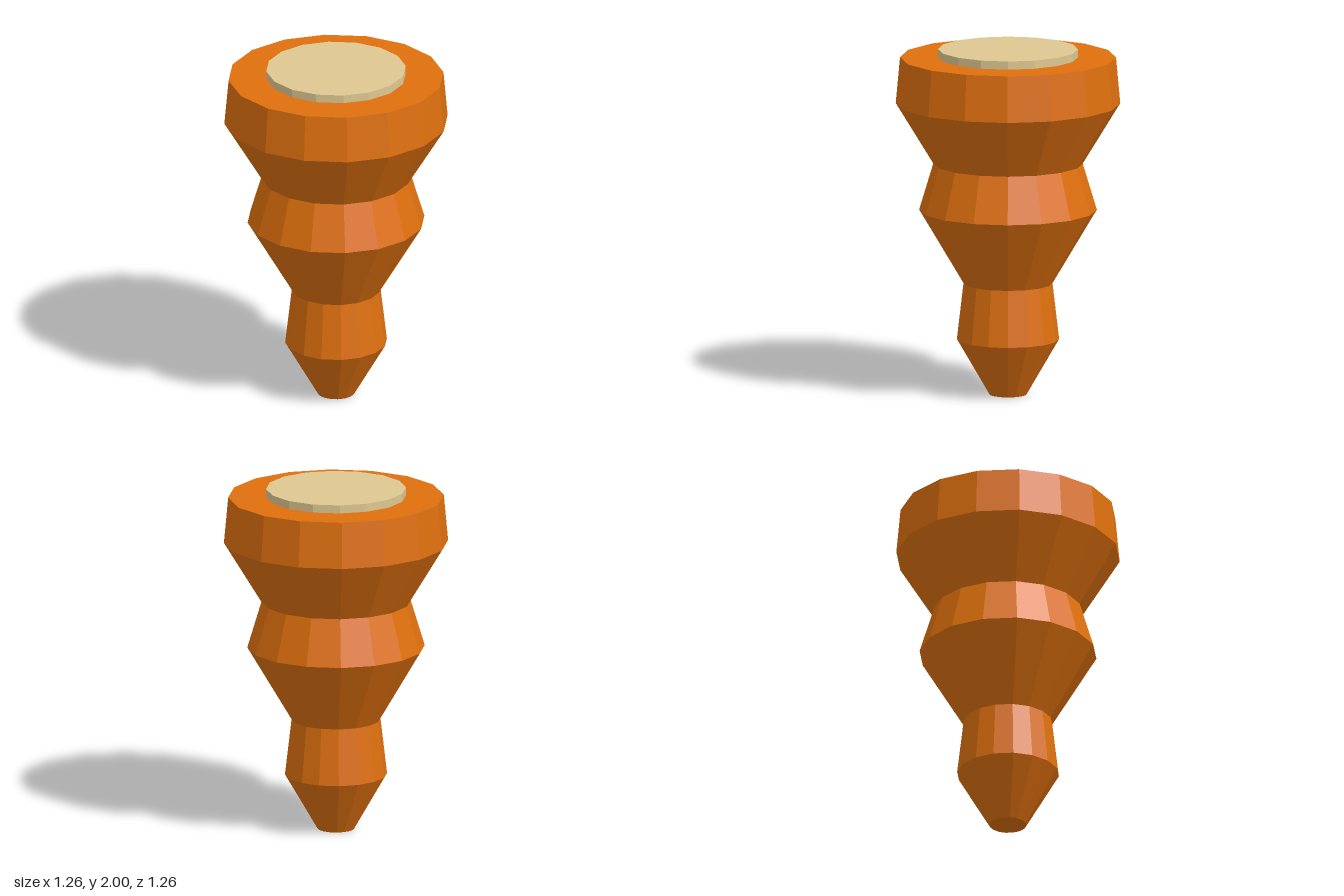
import * as THREE from 'three';

const SIDES = 16;
// flat-to-flat half widths become corner radii
const CORNER = 1 / Math.cos(Math.PI / SIDES);

// Faceted solid of revolution from [half width, height] pairs, flat sides facing the axes
function facetedLathe(name, profile, material) {
  const points = profile.map(([r, y]) => new THREE.Vector2(r * CORNER, y));
  const geometry = new THREE.LatheGeometry(points, SIDES, Math.PI / SIDES).toNonIndexed();
  geometry.computeVertexNormals();
  const mesh = new THREE.Mesh(geometry, material);
  mesh.name = name;
  return mesh;
}

export function createModel() {
  const orange = new THREE.MeshStandardMaterial({ color: 0xdf700e });
  orange.name = 'orange';
  const tan = new THREE.MeshStandardMaterial({ color: 0xdec892 });
  tan.name = 'tan';

  const group = new THREE.Group();
  group.name = 'taperedRoot';

  // Three stacked bulging tiers, narrowing to a blunt tip
  group.add(facetedLathe('body', [
    [0, 0], [0.104, 0],
    [0.286, 0.32], [0.249, 0.644],
    [0.497, 1.07], [0.418, 1.337],
    [0.628, 1.687], [0.604, 1.953],
    [0, 1.953],
  ], orange));

  // Pale disc on the crown
  group.add(facetedLathe('topDisc', [
    [0, 1.94], [0.392, 1.94], [0.392, 2], [0, 2],
  ], tan));

  return group;
}
